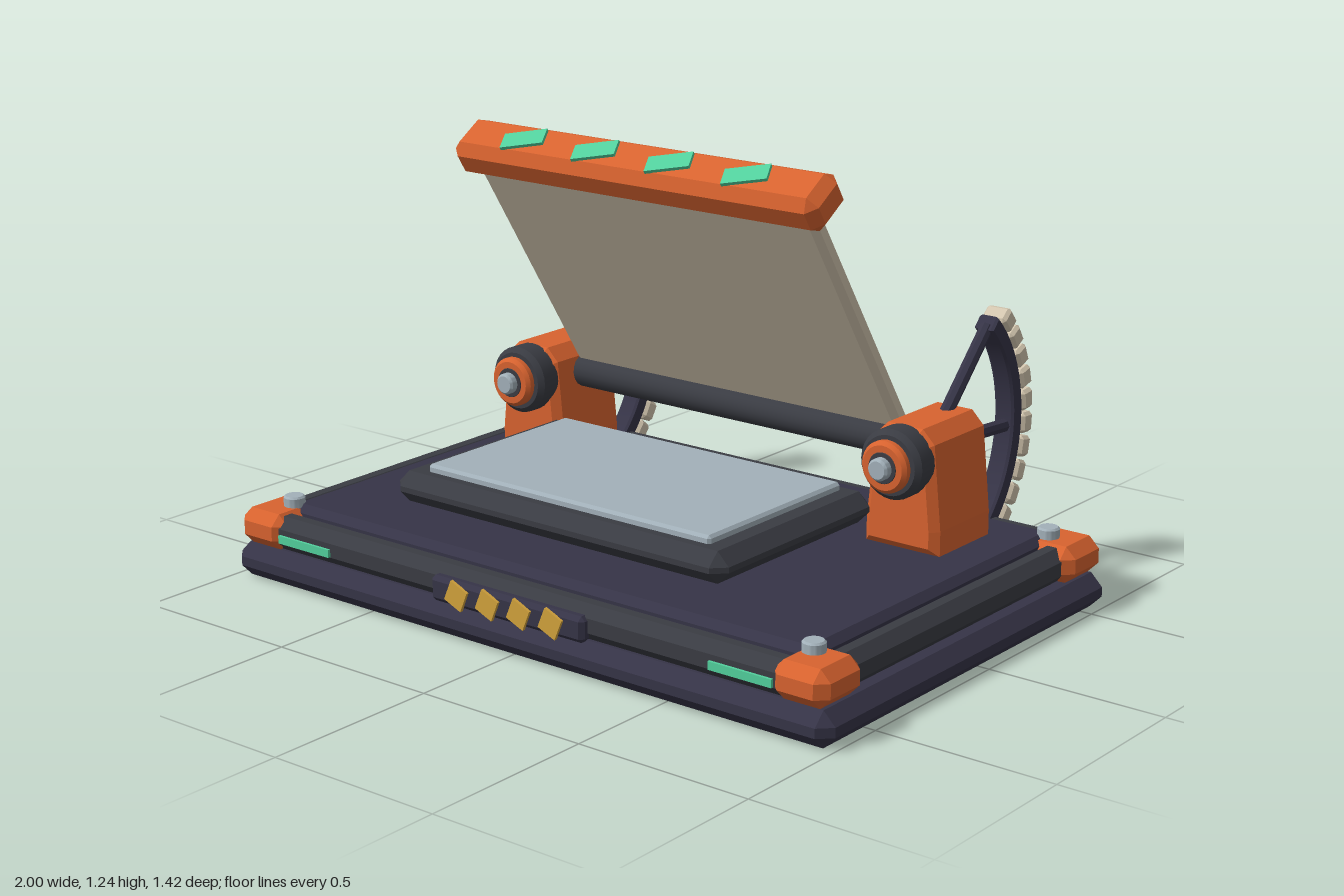
import * as THREE from 'three';
import { ConvexGeometry } from 'three/addons/geometries/ConvexGeometry.js';
import { toCreasedNormals } from 'three/addons/utils/BufferGeometryUtils.js';

const paint = (name, color) => {
  const m = new THREE.MeshStandardMaterial({ color });
  m.name = name;
  return m;
};

// Box with every edge and corner cut flat by c
function chamferBox(w, h, d, c) {
  const pts = [];
  const [x, y, z] = [w / 2, h / 2, d / 2];
  for (const i of [-1, 1]) for (const j of [-1, 1]) for (const k of [-1, 1]) {
    pts.push(
      new THREE.Vector3(i * x, j * (y - c), k * (z - c)),
      new THREE.Vector3(i * (x - c), j * y, k * (z - c)),
      new THREE.Vector3(i * (x - c), j * (y - c), k * z));
  }
  return new ConvexGeometry(pts);
}

// Disc with bevelled rims, standing on y = 0
function disc(r, h, c) {
  const profile = [[0, 0], [r - c, 0], [r, c], [r, h - c], [r - c, h], [0, h]];
  const g = new THREE.LatheGeometry(profile.map(p => new THREE.Vector2(...p)), 28);
  return toCreasedNormals(g, 0.5);
}

export function createModel() {
  const navy = paint('navy', 0x363447);
  const charcoal = paint('charcoal', 0x3a3c43);
  const orange = paint('orange', 0xd8632f);
  const beige = paint('beige', 0xd3c6af);
  const steel = paint('steel', 0xa2b0b9);
  const green = paint('green', 0x52cf9c);
  const gold = paint('gold', 0xd2a23c);

  const model = new THREE.Group();
  const add = (name, geo, mat, x, y, z, parent = model) => {
    const m = new THREE.Mesh(geo, mat);
    m.name = name;
    m.position.set(x, y, z);
    parent.add(m);
    return m;
  };

  // Base and deck
  add('baseSlab', chamferBox(2, 0.096, 1.285, 0.035), navy, 0, 0.048, 0.057);
  add('deck', chamferBox(1.76, 0.125, 1.1, 0.02), navy, 0, 0.142, 0.045);

  // Rails, corner blocks and bolts round the deck
  for (const s of [-1, 1]) {
    add('sideRail', chamferBox(0.085, 0.095, 1.1, 0.028), charcoal, s * 0.915, 0.142, 0.055);
    add('crossRail', chamferBox(1.8, 0.095, 0.085, 0.028), charcoal, 0, 0.142, 0.055 + s * 0.583);
    for (const z of [0.605, -0.493]) {
      add('cornerBlock', chamferBox(0.165, 0.1, 0.178, 0.03), orange, s * 0.902, 0.146, z);
    }
    for (const z of [0.58, -0.475]) {
      add('cornerBolt', disc(0.03, 0.035, 0.005), steel, s * 0.875, 0.19, z);
    }
    add('frontLight', new THREE.BoxGeometry(0.19, 0.022, 0.009), green, s * 0.735, 0.135, 0.684);
  }

  // Front plate with tilted gold squares
  add('frontPlate', chamferBox(0.515, 0.07, 0.04, 0.012), navy, 0, 0.132, 0.682);
  for (let i = 0; i < 4; i++) {
    const sq = add('goldSquare', new THREE.BoxGeometry(0.06, 0.06, 0.009), gold, -0.16 + i * 0.106, 0.132, 0.7055);
    sq.rotation.z = i % 2 ? 0.4 : -0.4;
    sq.rotation.z = -0.4;
  }

  // Flat bed
  add('bed', chamferBox(1.11, 0.085, 0.67, 0.035), charcoal, 0, 0.302, 0.195);
  add('bedPlate', chamferBox(0.95, 0.035, 0.56, 0.008), steel, 0, 0.348, 0.19);

  // Hinge bar between the mounts
  const bar = new THREE.CylinderGeometry(0.045, 0.045, 1.14, 16).rotateZ(Math.PI / 2);
  add('hingeBar', toCreasedNormals(bar, 0.6), charcoal, 0, 0.455, -0.25);

  // Leaning lid: panel, ribs, top cap and lights
  const lid = new THREE.Group();
  lid.name = 'lid';
  lid.rotation.x = THREE.MathUtils.degToRad(33);
  model.add(lid);
  add('panel', chamferBox(1.112, 0.8, 0.055, 0.016), beige, 0, 0.635, -0.492, lid);
  for (let i = -2; i <= 2; i++) {
    add('rib', chamferBox(0.032, 0.79, 0.05, 0.008), steel, i * 0.194, 0.64, -0.531, lid);
  }
  add('topCap', chamferBox(1.2, 0.11, 0.145, 0.028), orange, 0, 1.058, -0.509, lid);
  for (let i = 0; i < 4; i++) {
    const light = add('capLight', new THREE.BoxGeometry(0.125, 0.0095, 0.055), green, -0.37 + i * 0.245, 1.117, -0.505, lid);
    light.rotation.y = 0.34;
  }

  // Mount profile, seen from the front, pushed back with a bevel
  const b = 0.022;
  const half = [[0.093, 0.225], [0.093, 0.27], [0.07, 0.49], [0.045, 0.515]];
  const outline = [...half, ...half.map(([x, y]) => [-x, y]).reverse()];
  const mountGeo = new THREE.ExtrudeGeometry(
    new THREE.Shape(outline.map(p => new THREE.Vector2(...p))),
    { depth: 0.275 - 2 * b, bevelSize: b, bevelThickness: b, bevelSegments: 1 });
  mountGeo.translate(0, 0, -0.395 + b);

  // Curved rack, drawn with its radius pointing to the back
  const a0 = -0.9, a1 = 0.82;
  const arc = new THREE.Shape();
  arc.absarc(0, 0, 0.402, a0, a1, false);
  arc.absarc(0, 0, 0.366, a1, a0, true);
  const arcGeo = toCreasedNormals(new THREE.ExtrudeGeometry(arc, {
    depth: 0.044, bevelSize: 0.004, bevelThickness: 0.008, bevelSegments: 1, curveSegments: 20,
  }).translate(0, 0, -0.022), 0.4);

  for (const s of [-1, 1]) {
    const x = s * 0.637;
    add('mount', mountGeo, orange, x, 0, 0);

    // Knob in front of the mount
    const knob = new THREE.Group();
    knob.name = 'knob';
    knob.position.set(x, 0.447, 0);
    knob.rotation.x = Math.PI / 2;
    model.add(knob);
    add('knobRing', disc(0.095, 0.085, 0.014), charcoal, 0, -0.153, 0, knob);
    add('knobCap', disc(0.07, 0.035, 0.01), orange, 0, -0.075, 0, knob);
    add('knobSeat', disc(0.042, 0.004, 0.001), charcoal, 0, -0.042, 0, knob);
    add('knobBolt', disc(0.03, 0.032, 0.006), steel, 0, -0.046, 0, knob);

    // Toothed rack behind the mount
    const rack = new THREE.Group();
    rack.name = 'rack';
    rack.position.set(x, 0.45, -0.257);
    rack.rotation.y = Math.PI / 2;
    model.add(rack);
    add('rackArc', arcGeo, navy, 0, 0, 0, rack);
    for (const deg of [46, -4, -52]) {
      const a = THREE.MathUtils.degToRad(deg);
      const spoke = add('rackSpoke', toCreasedNormals(new THREE.CylinderGeometry(0.019, 0.019, 0.38, 8), 0.3),
        navy, Math.cos(a) * 0.19, Math.sin(a) * 0.19, 0, rack);
      spoke.rotation.z = a - Math.PI / 2;
    }
    for (let i = 0; i < 10; i++) {
      const a = THREE.MathUtils.degToRad(41 - i * 8.9);
      const tooth = add('rackTooth', chamferBox(0.05, 0.058, 0.076, 0.009), beige,
        Math.cos(a) * 0.428, Math.sin(a) * 0.428, 0, rack);
      tooth.rotation.z = a;
    }
  }
  return model;
}
